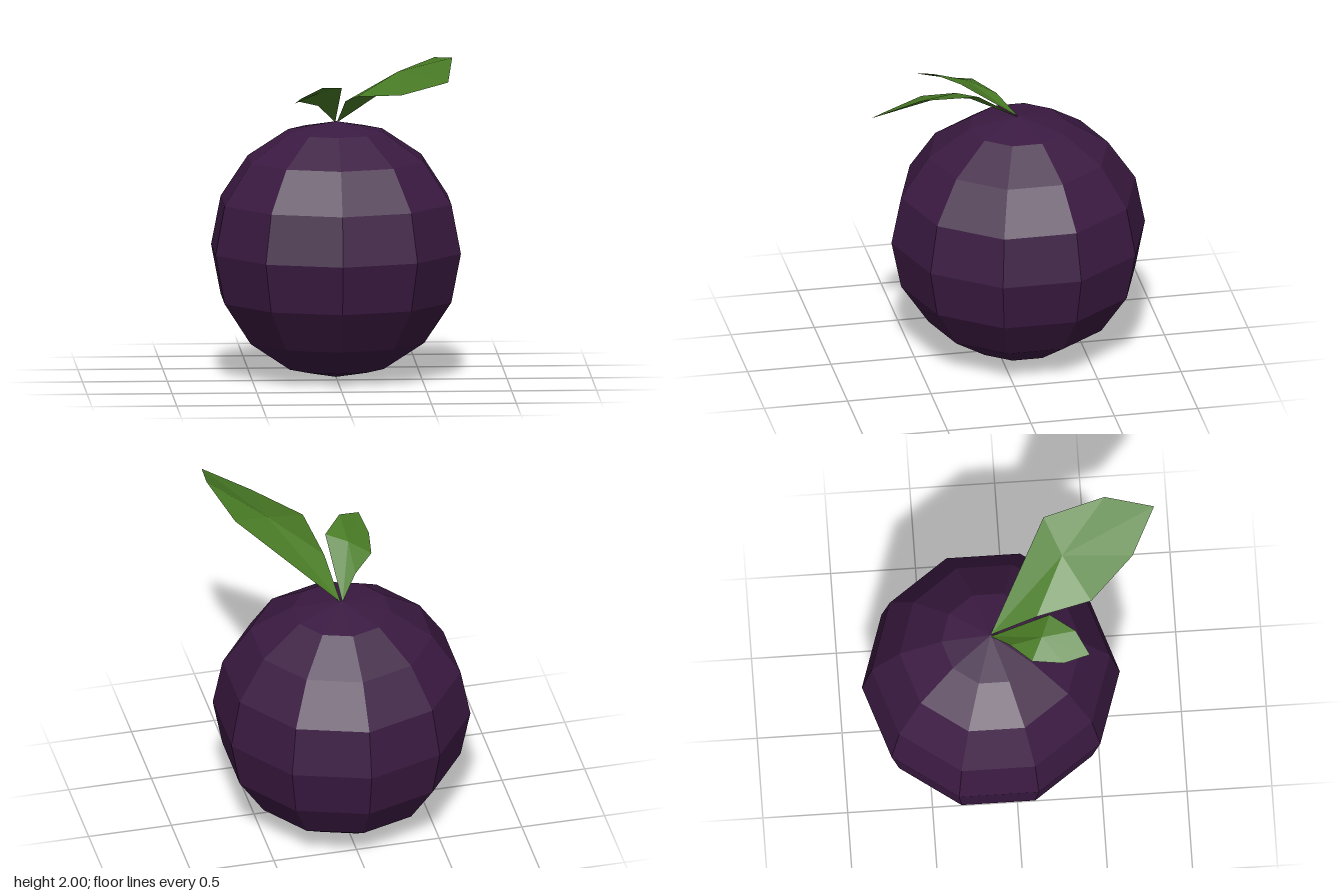
import * as THREE from 'three';

const flat = (color) => new THREE.MeshStandardMaterial({ color, flatShading: true });

// A folded leaf: a fan of facets from the ridge point to the outline
function makeLeaf(name, ridge, outline, material) {
  const positions = [];
  outline.forEach((point, i) => {
    const next = outline[(i + 1) % outline.length];
    positions.push(...ridge, ...next, ...point);
  });
  const geometry = new THREE.BufferGeometry();
  geometry.setAttribute('position', new THREE.Float32BufferAttribute(positions, 3));
  geometry.computeVertexNormals();
  const leaf = new THREE.Mesh(geometry, material);
  leaf.name = name;
  return leaf;
}

export function createModel() {
  const group = new THREE.Group();
  group.name = 'fruitWithLeaves';

  // Faceted round fruit, with one column of corners facing the front
  const fruit = new THREE.Mesh(new THREE.SphereGeometry(0.76, 10, 8), flat(0x3b1a42));
  fruit.name = 'fruit';
  fruit.rotation.y = Math.PI / 2;
  fruit.position.set(0, 0.763, -0.123);
  group.add(fruit);

  const leafMaterial = flat(0x4a7d26);
  leafMaterial.side = THREE.DoubleSide;

  // Large leaf, rising to the front left
  group.add(makeLeaf('largeLeaf', [0.34, 1.88, 0.32], [
    [0.005, 1.515, -0.125],
    [0.56, 1.95, 0.225],
    [0.645, 2.0, 0.59],
    [0.605, 1.895, 0.88],
    [0.34, 1.80, 0.735],
    [0.09, 1.755, 0.475],
    [0.04, 1.68, 0.15],
  ], leafMaterial));

  // Small leaf, leaning to the front right
  group.add(makeLeaf('smallLeaf', [-0.11, 1.735, 0.17], [
    [-0.005, 1.515, -0.125],
    [0.015, 1.77, 0.225],
    [-0.105, 1.795, 0.37],
    [-0.24, 1.74, 0.445],
    [-0.265, 1.69, 0.29],
    [-0.235, 1.675, 0.105],
    [-0.11, 1.63, -0.015],
  ], leafMaterial));

  return group;
}
